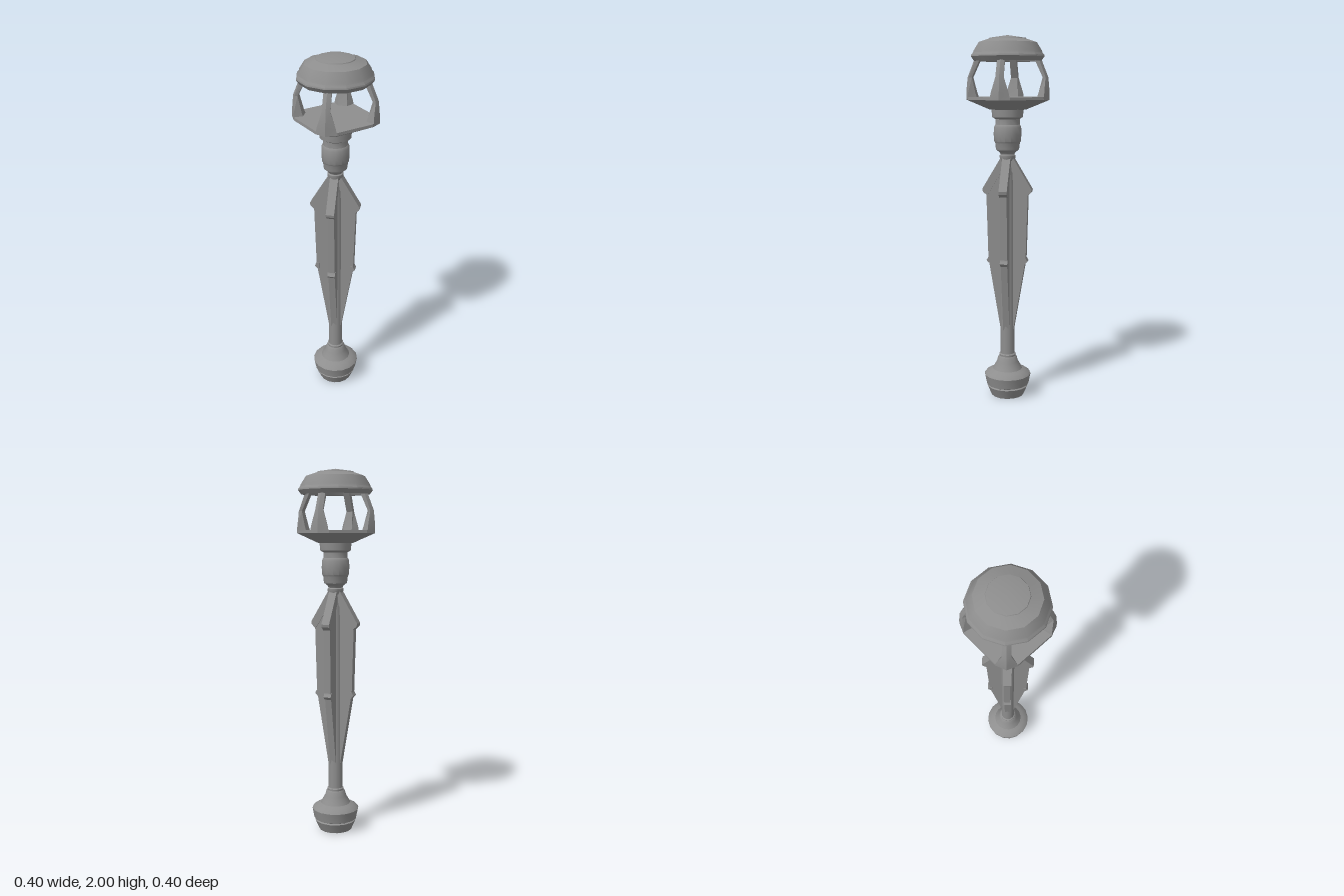
import * as THREE from 'three';
import { toCreasedNormals } from 'three/addons/utils/BufferGeometryUtils.js';

const material = new THREE.MeshStandardMaterial({ color: 0x8e8e8e });
const rad = THREE.MathUtils.degToRad;

function mesh(name, geometry) {
  const m = new THREE.Mesh(geometry, material);
  m.name = name;
  return m;
}

// Turned part from [radius, height] pairs, listed bottom to top
function turned(name, profile, sides) {
  const points = profile.map(([r, y]) => new THREE.Vector2(r, y));
  return mesh(name, toCreasedNormals(new THREE.LatheGeometry(points, sides), 0.6));
}

// Closed solid through stacked loops of [x, y, z], counter-clockwise from above
function loft(name, loops) {
  const n = loops[0].length;
  const index = [];
  for (let i = 0; i < loops.length - 1; i++) {
    for (let j = 0; j < n; j++) {
      const a = i * n + j, b = i * n + (j + 1) % n;
      index.push(a, b, b + n, a, b + n, a + n);
    }
  }
  const top = (loops.length - 1) * n;
  for (let j = 1; j < n - 1; j++) {
    index.push(0, j + 1, j, top, top + j, top + j + 1);
  }
  const g = new THREE.BufferGeometry();
  g.setAttribute('position', new THREE.Float32BufferAttribute(loops.flat(2), 3));
  g.setIndex(index);
  return mesh(name, toCreasedNormals(g, 0.35));
}

// Flat plate standing in the radius/height plane
function plate(name, outline, thickness) {
  const shape = new THREE.Shape(outline.map(([r, y]) => new THREE.Vector2(r, y)));
  const g = new THREE.ExtrudeGeometry(shape, { depth: thickness, bevelEnabled: false });
  return mesh(name, g.translate(0, 0, -thickness / 2));
}

// Four copies around the axis
function fourTimes(parent, angle, make) {
  for (let k = 0; k < 4; k++) {
    const part = make();
    part.rotation.y = rad(angle + 90 * k);
    parent.add(part);
  }
}

function makeFin() {
  const fin = new THREE.Group();
  fin.name = 'fin';
  fin.add(plate('finBlade', [
    [0, 0.37], [0.035, 0.38], [0.1, 0.765], [0.113, 0.78], [0.105, 0.8],
    [0.115, 1.15], [0.13, 1.18], [0.03, 1.34], [0, 1.34],
  ], 0.036));
  // Thicker sloping shoulder and the small knuckle lower down
  fin.add(plate('finShoulder', [
    [0.02, 1.29], [0.1, 1.16], [0.112, 1.145], [0.134, 1.165],
    [0.137, 1.18], [0.035, 1.35], [0.02, 1.35],
  ], 0.045));
  fin.add(plate('finKnuckle', [
    [0.09, 0.765], [0.102, 0.765], [0.115, 0.78], [0.104, 0.8], [0.09, 0.8],
  ], 0.042));
  return fin;
}

// Arm stations: height, ridge radius, shoulder radius, inner radius, outer and inner half width
const armStations = [
  [1.665, 0.228, 0.206, 0.16, 0.054, 0.026],
  [1.7, 0.228, 0.206, 0.172, 0.047, 0.024],
  [1.78, 0.22, 0.208, 0.192, 0.022, 0.018],
  [1.87, 0.184, 0.174, 0.15, 0.02, 0.018],
  [1.93, 0.156, 0.148, 0.125, 0.02, 0.018],
];

function makeArm() {
  return loft('cageArm', armStations.map(([y, ridge, side, inner, w, wi]) => [
    [ridge, y, 0], [side, y, -w], [inner, y, -wi], [inner, y, wi], [side, y, w],
  ]));
}

// Ring with four pointed corners
function panLoop(y, corner, ridge, offset) {
  const loop = [];
  for (let k = 0; k < 4; k++) {
    for (const d of [-15, 0, 15]) {
      const a = rad(offset + 90 * k + d);
      const r = d === 0 ? ridge : corner;
      loop.push([r * Math.cos(a), y, -r * Math.sin(a)]);
    }
  }
  return loop;
}

export function createModel() {
  const model = new THREE.Group();
  model.name = 'mace';
  const twist = 38;

  // Handle end
  model.add(turned('pommel', [
    [0, 0], [0.092, 0], [0.116, 0.055], [0.108, 0.06], [0.12, 0.066],
    [0.131, 0.122], [0.122, 0.133], [0.1, 0.145], [0.083, 0.153], [0.075, 0.168],
    [0.06, 0.195], [0.052, 0.222], [0.046, 0.228], [0.047, 0.238], [0.041, 0.243], [0, 0.243],
  ], 16));
  model.add(turned('shaft', [[0, 0.22], [0.04, 0.22], [0.04, 1.2], [0.03, 1.37], [0, 1.37]], 12));

  // Four blades
  fourTimes(model, twist, makeFin);

  // Neck between the blades and the cage
  model.add(turned('neck', [
    [0, 1.335], [0.036, 1.335], [0.043, 1.352], [0.043, 1.365], [0.038, 1.37],
    [0.044, 1.382], [0.061, 1.394], [0.064, 1.405], [0.067, 1.432], [0.072, 1.44],
    [0.075, 1.475], [0.074, 1.515], [0.068, 1.528], [0.066, 1.53], [0.066, 1.56],
    [0.083, 1.57], [0.086, 1.605], [0.086, 1.625], [0, 1.625],
  ], 14));

  // Open cage
  model.add(loft('cagePan', [
    panLoop(1.61, 0.096, 0.1, twist),
    panLoop(1.662, 0.211, 0.228, twist),
    panLoop(1.677, 0.21, 0.227, twist),
  ]));
  fourTimes(model, twist, makeArm);

  // Cap with a hollow underside
  const cap = turned('cap', [
    [0, 1.945], [0.1, 1.938], [0.15, 1.91], [0.17, 1.868], [0.184, 1.866], [0.2, 1.888],
    [0.199, 1.896], [0.189, 1.908], [0.186, 1.918], [0.158, 1.962],
    [0.101, 1.981], [0.099, 1.985], [0, 2],
  ], 12);
  cap.rotation.y = rad(6);
  model.add(cap);

  return model;
}
